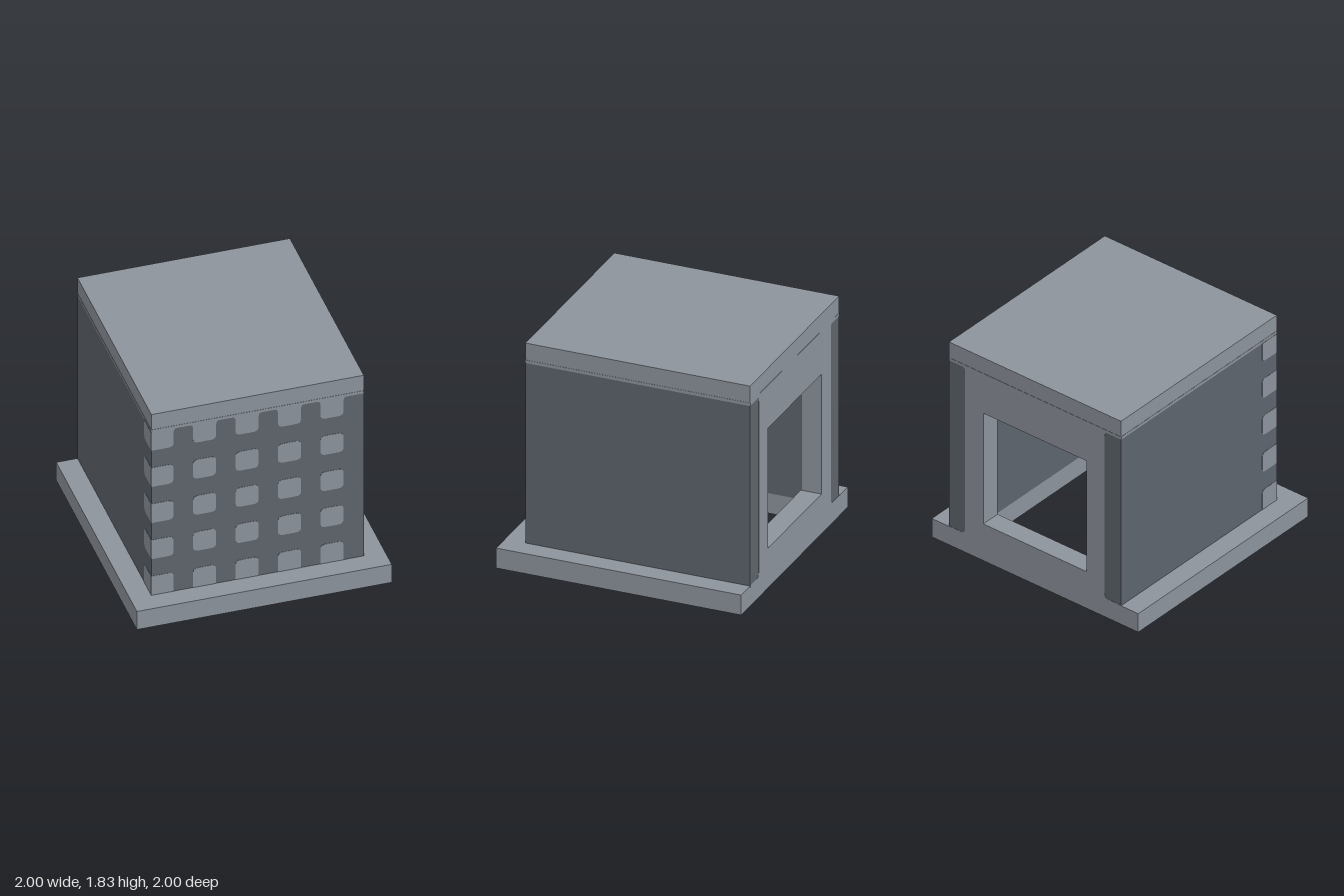
import * as THREE from 'three';

const light = new THREE.MeshStandardMaterial({ color: 0x8c939b });
light.name = 'lightGrey';
const dark = new THREE.MeshStandardMaterial({ color: 0x5d646c });
dark.name = 'darkGrey';

const U = 1 / 6;          // wall thickness and pattern cell
const X = 5 * U;          // half width of the body
const IN = 4 * U;         // half width of the cavity
const R = 0.04;           // corner radius of painted patches
const T = 0.004;          // patch thickness, half of it sunk into the wall

// Closed outline from [x, y, radius] corners, counter-clockwise
function outline(points) {
  const shape = new THREE.Shape();
  points.forEach(([x, y, r = 0], i) => {
    const n = points.length;
    const p = new THREE.Vector2(x, y);
    const toward = (q) => new THREE.Vector2(q[0], q[1]).sub(p).setLength(r).add(p);
    const a = r ? toward(points[(i + n - 1) % n]) : p;
    if (i === 0) shape.moveTo(a.x, a.y); else shape.lineTo(a.x, a.y);
    if (r) {
      const b = toward(points[(i + 1) % n]);
      shape.quadraticCurveTo(x, y, b.x, b.y);
    }
  });
  shape.closePath();
  return shape;
}

function rect(x0, y0, x1, y1, [bl, br, tr, tl] = [0, 0, 0, 0]) {
  return outline([[x0, y0, bl], [x1, y0, br], [x1, y1, tr], [x0, y1, tl]]);
}

function extrude(name, shape, depth, material, z) {
  const geometry = new THREE.ExtrudeGeometry(shape, { depth, bevelEnabled: false, curveSegments: 5 });
  const mesh = new THREE.Mesh(geometry, material);
  mesh.name = name;
  mesh.position.z = z;
  return mesh;
}

function box(name, x0, x1, y0, y1, z0, z1, material) {
  const mesh = new THREE.Mesh(new THREE.BoxGeometry(x1 - x0, y1 - y0, z1 - z0), material);
  mesh.name = name;
  mesh.position.set((x0 + x1) / 2, (y0 + y1) / 2, (z0 + z1) / 2);
  return mesh;
}

export function createModel() {
  const model = new THREE.Group();
  model.name = 'hollowBlock';
  const top = 10 * U;

  // Square base frame; shape y becomes -z when laid flat
  const frame = rect(-1, -1, 1, 1);
  frame.holes.push(rect(-IN, -IN, IN, X));
  const base = extrude('baseFrame', frame, U, light, 0);
  base.rotation.x = -Math.PI / 2;
  model.add(base);

  // Roof slab, side walls and front wall
  model.add(box('roof', -X, X, top, 11 * U, -1, X, light));
  model.add(box('leftWall', IN, X, U, top, -1, X, dark));
  model.add(box('rightWall', -X, -IN, U, top, -1, X, dark));
  model.add(box('frontWall', -IN, IN, U, top, IN, X, dark));

  // Back wall with its window opening
  const windowHole = () => rect(-3 * U, 2 * U, 3 * U, 8 * U);
  const back = rect(-IN, U, IN, top);
  back.holes.push(windowHole());
  model.add(extrude('backWall', back, U, light, -1));

  // Back facing that rounds the corners of the dark side strips
  const s = 0.675, lo = U + 0.005, hi = top + 0.006;
  const facing = outline([
    [-X, U - 0.01], [X, U - 0.01], [X, lo], [s, lo, R], [s, hi, R], [X, hi],
    [X, hi + 0.02], [-X, hi + 0.02], [-X, hi], [-s, hi, R], [-s, lo, R], [-X, lo],
  ]);
  facing.holes.push(windowHole());
  model.add(extrude('backFacing', facing, T, light, -1 - T / 2));

  // Light squares on the front wall, inside and out, wrapping the right corner
  const squares = new THREE.Group();
  squares.name = 'lightSquares';
  const left = (i) => (i === 0 ? -X - T / 2 : -X + 2 * U * i - 0.007);
  const right = (i) => -X + 2 * U * i + U + 0.007;
  for (let j = 0; j < 5; j++) {
    const y0 = U + 2 * U * j;
    const y1 = j === 4 ? top : y0 + U + 0.009;
    const rb = j === 0 ? 0 : R;
    const rt = j === 4 ? 0 : R;
    for (let i = 0; i < 5; i++) {
      const shape = rect(left(i), y0, right(i), y1, i === 0 ? [0, rb, rt, 0] : [rb, rb, rt, rt]);
      if (j < 4) squares.add(extrude('frontSquare', shape, T, light, X - T / 2));
      if (i > 0) squares.add(extrude('innerSquare', shape, T, light, IN - T / 2));
    }
    const side = extrude('sideSquare', rect(IN - 0.007, y0, X + T / 2, y1, [rb, 0, 0, rt]), T, light, 0);
    side.rotation.y = -Math.PI / 2;
    side.position.x = -X + T / 2;
    squares.add(side);
  }
  model.add(squares);

  // Top row of squares joined to the roof as a comb
  const comb = [[-X, hi + 0.02]];
  for (let i = 0; i < 5; i++) {
    comb.push([left(i), 9 * U, i === 0 ? 0 : R], [right(i), 9 * U, R], [right(i), hi, R]);
    if (i < 4) comb.push([left(i + 1), hi, R]);
  }
  comb.push([X, hi], [X, hi + 0.02]);
  model.add(extrude('frontComb', outline(comb), T, light, X - T / 2));

  // Lower edge of the roof band on both sides
  for (const sx of [-1, 1]) {
    model.add(box('sideBand', sx * X - 0.002, sx * X + 0.002, hi, hi + 0.02, -1, X, light));
  }
  return model;
}
